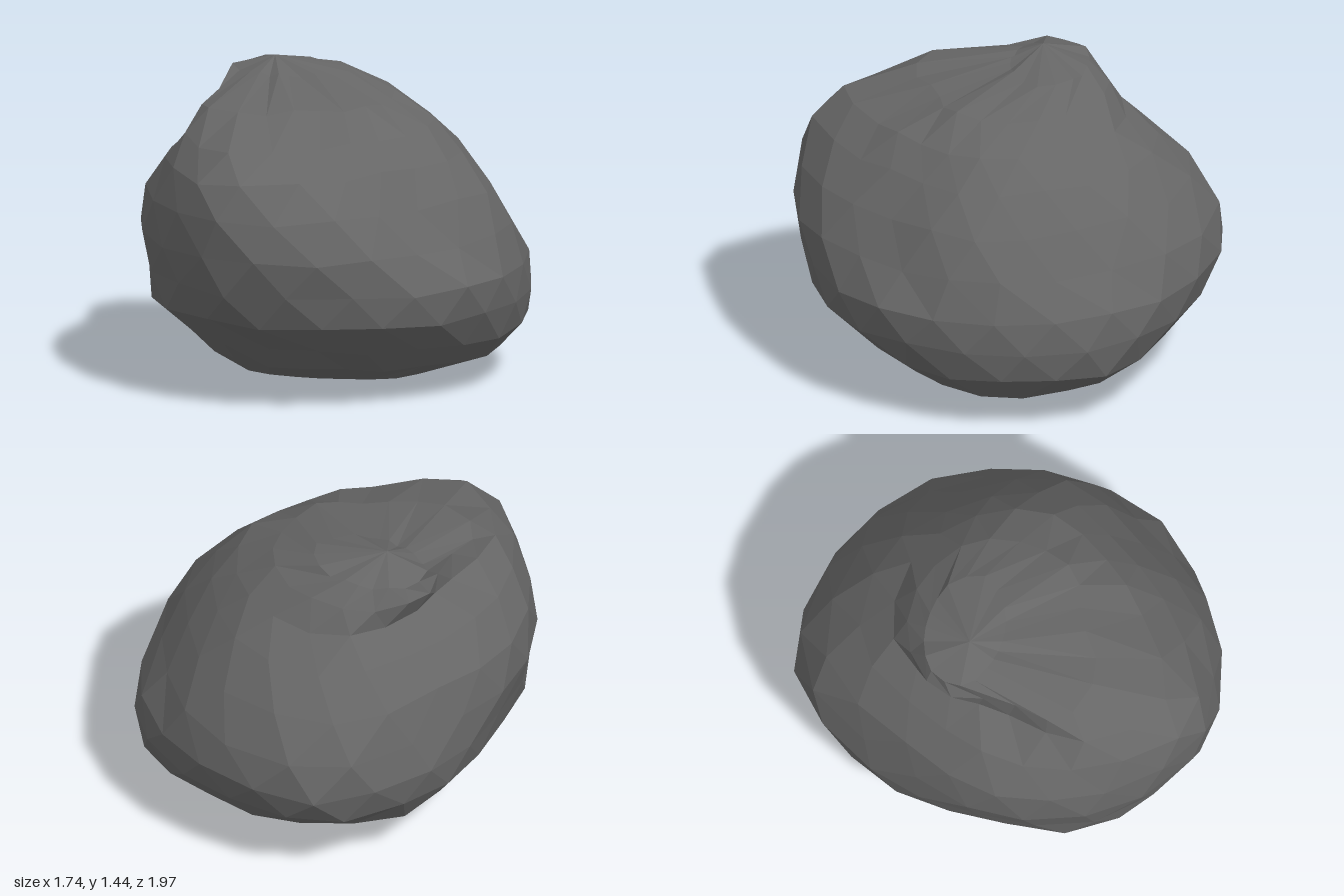
import * as THREE from 'three';

// Contours of the boulder: height, centre x, centre z, then ten radii
// running from +x through +z, -x and -z.
const RINGS = [
  [0.05, 0, 0.02, 0.46, 0.42, 0.33, 0.34, 0.43, 0.43, 0.4, 0.34, 0.34, 0.43],
  [0.14, 0.08, -0.02, 0.66, 0.6, 0.55, 0.59, 0.66, 0.65, 0.62, 0.54, 0.54, 0.65],
  [0.26, 0.08, -0.03, 0.78, 0.76, 0.72, 0.76, 0.81, 0.75, 0.8, 0.76, 0.73, 0.8],
  [0.41, 0, 0, 0.885, 0.9, 0.9, 0.92, 0.9, 0.78, 0.85, 0.94, 0.89, 0.92],
  [0.56, 0, 0, 0.875, 0.92, 0.92, 0.99, 0.92, 0.82, 0.87, 1.0, 0.93, 0.9],
  [0.73, 0, 0.1, 0.82, 0.75, 0.84, 0.93, 0.9, 0.87, 0.87, 1.07, 0.98, 0.84],
  [0.91, -0.05, 0.1, 0.78, 0.68, 0.78, 0.92, 0.83, 0.79, 0.77, 0.94, 0.89, 0.77],
  [1.07, -0.08, 0.1, 0.67, 0.58, 0.66, 0.87, 0.73, 0.64, 0.62, 0.77, 0.76, 0.68],
  [1.19, -0.1, 0.1, 0.55, 0.48, 0.52, 0.72, 0.62, 0.44, 0.48, 0.62, 0.62, 0.59],
  [1.3, -0.15, 0.05, 0.4, 0.37, 0.3, 0.43, 0.5, 0.37, 0.48, 0.5, 0.48, 0.45],
  [1.38, -0.27, -0.13, 0.3, 0.2, 0.15, 0.14, 0.17, 0.25, 0.25, 0.22, 0.22, 0.27],
];
const SEGMENTS = 20;

// Smooth closed contour, resampled; every other ring is shifted half a step
function contour([y, cx, cz, ...radii], k) {
  const curve = new THREE.CatmullRomCurve3(
    radii.map((r, i) => {
      const a = (i * 2 * Math.PI) / radii.length;
      return new THREE.Vector3(cx + r * Math.cos(a), y, cz + r * Math.sin(a));
    }),
    true
  );
  return Array.from({ length: SEGMENTS }, (_, i) => {
    const p = curve.getPoint((i + (k % 2) / 2) / SEGMENTS);
    // Slight unevenness in height gives irregular facets
    if (k > 0) p.y += 0.01 * Math.sin(i * 2.3 + k * 4.1);
    return p;
  });
}

function boulderGeometry() {
  const rings = RINGS.map(contour);
  const positions = [];
  const tri = (...points) => points.forEach((p) => positions.push(p.x, p.y, p.z));
  const bottom = new THREE.Vector3(-0.14, 0, 0.07);
  const top = new THREE.Vector3(-0.32, 1.44, -0.13);
  const last = rings[rings.length - 1];

  for (let i = 0; i < SEGMENTS; i++) {
    const j = (i + 1) % SEGMENTS;
    tri(bottom, rings[0][i], rings[0][j]);
    tri(top, last[j], last[i]);
    for (let k = 0; k < rings.length - 1; k++) {
      const a = rings[k];
      const b = rings[k + 1];
      if (k % 2 === 0) {
        tri(a[i], b[i], a[j]);
        tri(a[j], b[i], b[j]);
      } else {
        tri(a[i], b[i], b[j]);
        tri(a[i], b[j], a[j]);
      }
    }
  }

  const geometry = new THREE.BufferGeometry();
  geometry.setAttribute('position', new THREE.Float32BufferAttribute(positions, 3));
  geometry.computeVertexNormals();
  return geometry;
}

export function createModel() {
  const stone = new THREE.MeshStandardMaterial({ color: 0x666666, flatShading: true });
  stone.name = 'darkGreyStone';

  const boulder = new THREE.Mesh(boulderGeometry(), stone);
  boulder.name = 'boulder';

  const model = new THREE.Group();
  model.name = 'rock';
  model.add(boulder);
  return model;
}
